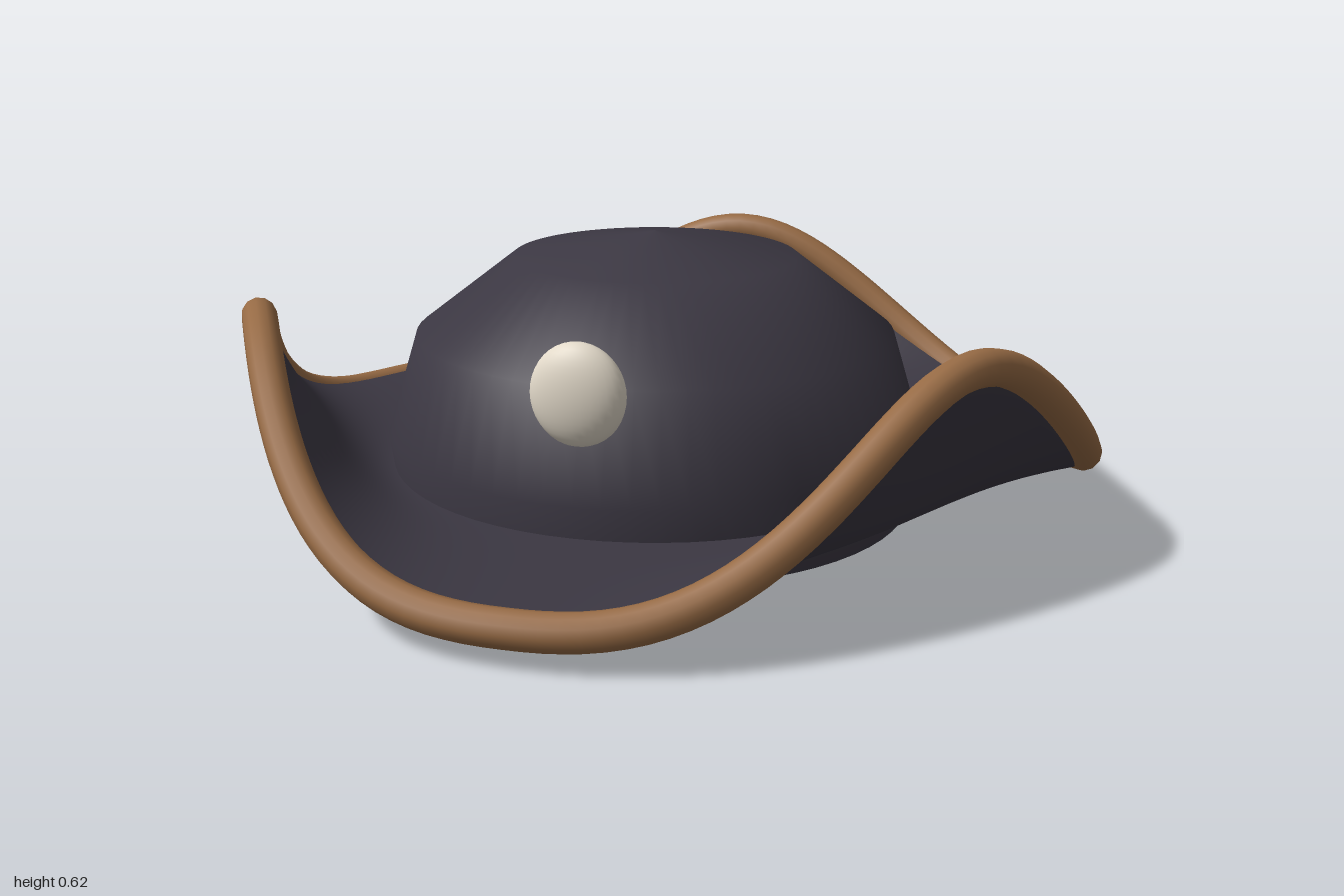
import * as THREE from 'three';
import { toCreasedNormals } from 'three/addons/utils/BufferGeometryUtils.js';

const CENTRE_Z = -0.06;
const HALF_THICK = 0.027;

// Three-fold upturn: 0 at the low corners (front first), 1 at the raised sides.
const lift = (a) => Math.pow((1 - Math.cos(3 * a)) / 2, 1.45);

// Middle of the brim: angle a from the front, t = 0 at the crown, 1 at the edge.
function brimPoint(a, t) {
  const l = lift(a);
  const edge = 0.991 - 0.115 * l;
  const r = 0.575 + (edge - 0.575) * t;
  return new THREE.Vector3(r * Math.sin(a), 0.073 + 0.393 * l * Math.pow(t, 2.1), r * Math.cos(a));
}

// Closed section (top face outward, bottom face back) carried around the crown.
function brimGeometry(around = 144, across = 18) {
  const pos = [], index = [];
  const row = 2 * (across + 1);
  for (let i = 0; i < around; i++) {
    for (let j = 0; j < row; j++) {
      const top = j <= across;
      const p = brimPoint((i / around) * Math.PI * 2, (top ? j : row - 1 - j) / across);
      pos.push(p.x, p.y + (top ? HALF_THICK : -HALF_THICK), p.z);
    }
  }
  for (let i = 0; i < around; i++) {
    for (let j = 0; j < row; j++) {
      const k = (j + 1) % row;
      const a = i * row, b = ((i + 1) % around) * row;
      index.push(a + j, a + k, b + j, b + j, a + k, b + k);
    }
  }
  const g = new THREE.BufferGeometry();
  g.setAttribute('position', new THREE.Float32BufferAttribute(pos, 3));
  g.setIndex(index);
  return toCreasedNormals(g, 0.8);
}

export function createModel() {
  const felt = new THREE.MeshStandardMaterial({ color: 0x3b3742, side: THREE.DoubleSide });
  const leather = new THREE.MeshStandardMaterial({ color: 0x976b45 });
  const ivory = new THREE.MeshStandardMaterial({ color: 0xe2d9c9 });

  const hat = new THREE.Group();
  hat.name = 'threeCorneredHat';
  const add = (name, geometry, material, x, y, z) => {
    const mesh = new THREE.Mesh(geometry, material);
    mesh.name = name;
    mesh.position.set(x, y, z);
    hat.add(mesh);
    return mesh;
  };

  // Domed crown, open underneath
  const profile = [[0.583, 0], [0.608, 0.17], [0.54, 0.395], [0.32, 0.565], [0, 0.618]]
    .map(([r, y]) => new THREE.Vector2(r, y));
  add('crown', new THREE.LatheGeometry(profile, 64), felt, 0, 0, CENTRE_Z);

  // Thick brim turned up on three sides
  add('brim', brimGeometry(), felt, 0, 0, CENTRE_Z);

  // Rolled trim along the brim's edge
  const edge = [];
  for (let i = 0; i < 72; i++) edge.push(brimPoint((i / 72) * Math.PI * 2, 1));
  const path = new THREE.CatmullRomCurve3(edge, true);
  add('brimTrim', new THREE.TubeGeometry(path, 180, 0.038, 12, true), leather, 0, 0, CENTRE_Z);

  // Oval badge on the front of the crown
  const badge = add('frontBadge', new THREE.SphereGeometry(0.1, 32, 20), ivory, 0, 0.39, 0.5);
  badge.scale.set(1, 1.08, 0.48);

  return hat;
}
